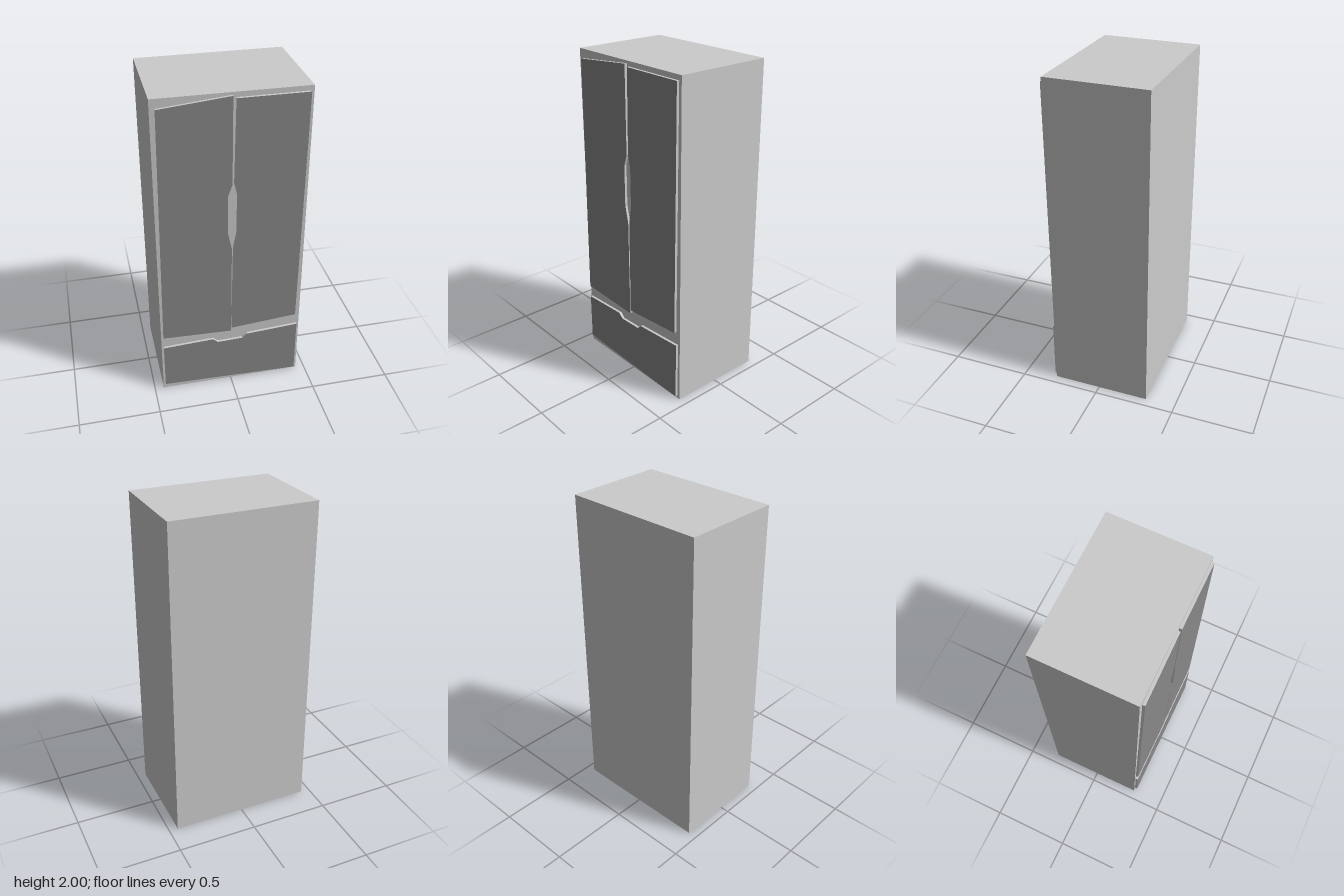
import * as THREE from 'three';

const FRONT_Z = 0.296; // front plane of the cabinet body
const PANEL_DEPTH = 0.016;

const grey = new THREE.MeshStandardMaterial({ color: 0xcccccc, flatShading: true });
const dark = new THREE.MeshStandardMaterial({ color: 0x888888, flatShading: true });

// A thin hand-cut panel on the cabinet front: dark face, grey edges
function panel(name, outline) {
  const shape = new THREE.Shape(outline.map(([x, y]) => new THREE.Vector2(x, y)));
  const geometry = new THREE.ExtrudeGeometry(shape, { depth: PANEL_DEPTH, bevelEnabled: false });
  const mesh = new THREE.Mesh(geometry, [dark, grey]);
  mesh.name = name;
  mesh.position.z = FRONT_Z;
  return mesh;
}

export function createModel() {
  const group = new THREE.Group();
  group.name = 'wardrobe';

  // Cabinet body
  const body = new THREE.Mesh(new THREE.BoxGeometry(0.888, 2, 0.61), grey);
  body.name = 'cabinetBody';
  body.position.set(0, 1, FRONT_Z - 0.305);
  group.add(body);

  // Crooked doors, each with a shallow grip cut-out on the inner edge
  group.add(panel('rightDoor', [
    [-0.43, 0.425], [-0.003, 0.41], [-0.003, 1.03], [-0.027, 1.14],
    [-0.027, 1.39], [-0.003, 1.46], [-0.003, 1.985], [-0.413, 1.945],
  ]));
  group.add(panel('leftDoor', [
    [0.002, 0.433], [0.413, 0.467], [0.425, 1.97], [0.018, 1.97],
    [0.01, 1.46], [0.027, 1.39], [0.027, 1.14], [0.007, 1.03],
  ]));

  // Drawer front with a grip notch in its top edge
  group.add(panel('drawerFront', [
    [-0.43, 0.042], [0.427, 0.018], [0.427, 0.386], [0.1, 0.365],
    [0.07, 0.337], [-0.087, 0.332], [-0.118, 0.36], [-0.43, 0.345],
  ]));

  return group;
}
